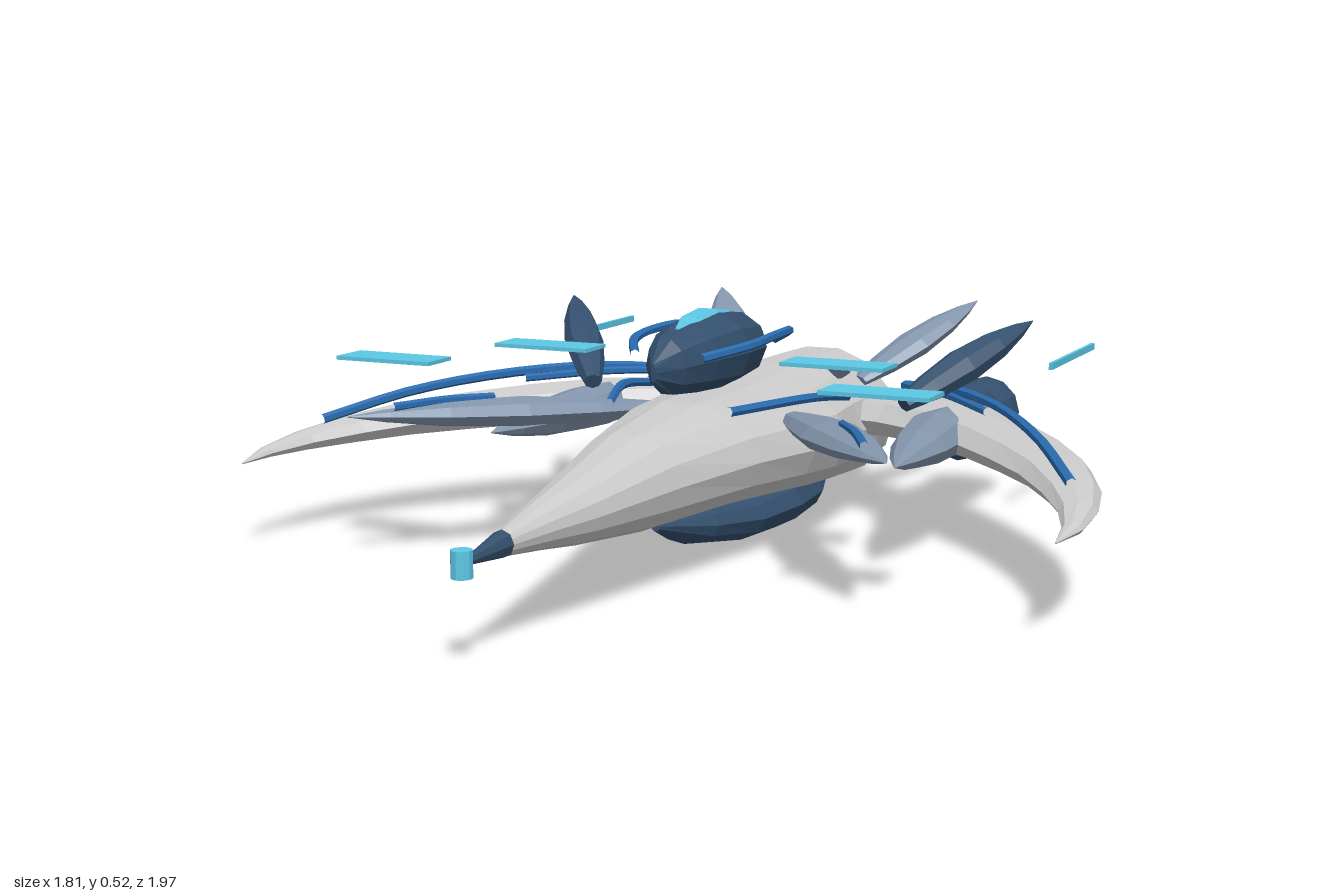
import * as THREE from 'three';

const V = (p) => new THREE.Vector3(p[0], p[1], p[2]);
const paint = (color) => new THREE.MeshStandardMaterial({ color, flatShading: true });
const hullGrey = paint(0xcccccc), dark = paint(0x34506e), slate = paint(0x8496ad);
const blue = paint(0x2a6cb0), cyan = paint(0x5cc8e6);

// Skins a row of elliptical sections [x, y, z, halfWidth, halfHeight]
function loft(sections, sides) {
  const pos = [], index = [], n = sections.length, up = new THREE.Vector3(0, 1, 0);
  const centres = sections.map(V);
  sections.forEach(([, , , w, h], i) => {
    const t = centres[Math.min(i + 1, n - 1)].clone().sub(centres[Math.max(i - 1, 0)]).normalize();
    const s = up.clone().cross(t).normalize(), u = t.clone().cross(s);
    for (let j = 0; j < sides; j++) {
      const a = (j / sides) * Math.PI * 2;
      const p = centres[i].clone().addScaledVector(s, w * Math.cos(a)).addScaledVector(u, h * Math.sin(a));
      pos.push(p.x, p.y, p.z);
    }
  });
  for (let j = 0; j < sides; j++) {
    const k = (j + 1) % sides;
    for (let i = 0; i < n - 1; i++) {
      const a = i * sides, b = a + sides;
      index.push(a + j, a + k, b + k, a + j, b + k, b + j);
    }
    if (j > 0 && j < sides - 1) {
      const e = (n - 1) * sides;
      index.push(0, k, j, e, e + j, e + k);
    }
  }
  const g = new THREE.BufferGeometry();
  g.setAttribute('position', new THREE.Float32BufferAttribute(pos, 3));
  g.setIndex(index);
  g.computeVertexNormals();
  return g;
}

// Leaf-shaped blade between two points
function blade(from, to, w, h, sides = 8) {
  const shape = [[0, 0.45], [0.2, 0.8], [0.45, 1], [0.7, 0.8], [0.88, 0.42], [1, 0.03]];
  return loft(shape.map(([t, k]) => [...V(from).lerp(V(to), t).toArray(), w * k, h * k]), sides);
}

const tube = (points, r) =>
  new THREE.TubeGeometry(new THREE.CatmullRomCurve3(points.map(V)), 14, r, 6, false);

export function createModel() {
  const model = new THREE.Group();
  const add = (name, geometry, material, x = 0, y = 0, z = 0, parent = model) => {
    const m = new THREE.Mesh(geometry, material);
    m.name = name;
    m.position.set(x, y, z);
    parent.add(m);
    return m;
  };
  // Section along the centre line: z, y, halfWidth, halfHeight
  const body = (rows, sides) => loft(rows.map(([z, y, w, h]) => [0, y, z, w, h]), sides);

  // Fuselage
  add('hull', body([
    [0.86, 0.195, 0.018, 0.02], [0.72, 0.2, 0.046, 0.042], [0.6, 0.202, 0.07, 0.061],
    [0.35, 0.215, 0.12, 0.1], [0.1, 0.225, 0.18, 0.115], [-0.1, 0.22, 0.22, 0.122],
    [-0.25, 0.215, 0.23, 0.132], [-0.4, 0.21, 0.21, 0.145], [-0.55, 0.205, 0.207, 0.15],
    [-0.68, 0.198, 0.185, 0.155], [-0.77, 0.19, 0.13, 0.125], [-0.82, 0.19, 0.08, 0.07],
  ], 14), hullGrey);
  add('noseCone', body([[0.84, 0.196, 0.024, 0.026], [0.97, 0.19, 0.006, 0.006]], 8), dark);
  add('noseTip', new THREE.CylinderGeometry(0.02, 0.02, 0.05, 10), cyan, 0, 0.19, 0.98);
  add('belly', body([
    [0.22, 0.1, 0.01, 0.01], [0.08, 0.08, 0.075, 0.045], [-0.08, 0.066, 0.115, 0.058],
    [-0.25, 0.066, 0.13, 0.066], [-0.42, 0.064, 0.11, 0.058], [-0.55, 0.06, 0.065, 0.04],
    [-0.62, 0.055, 0.01, 0.01],
  ], 12), dark);

  // Canopy with bright spine
  add('canopy', body([
    [0.23, 0.415, 0.006, 0.02], [0.17, 0.42, 0.045, 0.06], [0.08, 0.427, 0.08, 0.075],
    [-0.03, 0.43, 0.1, 0.083], [-0.15, 0.425, 0.085, 0.074], [-0.24, 0.412, 0.045, 0.048],
    [-0.3, 0.4, 0.006, 0.01],
  ], 10), dark);
  add('canopySpine', body([
    [0.12, 0.49, 0.004, 0.004], [0.06, 0.49, 0.032, 0.022], [-0.03, 0.492, 0.04, 0.028],
    [-0.1, 0.488, 0.03, 0.022], [-0.15, 0.488, 0.004, 0.004],
  ], 6), cyan);

  // Engine: lathed pod, nozzle ring and glowing disc, pointing to -z
  const engine = (name, x, y, z, profile) => {
    const g = new THREE.Group();
    g.name = name;
    g.position.set(x, y, z);
    const pod = new THREE.LatheGeometry(profile.map(([r, d]) => new THREE.Vector2(r, d)), 12);
    pod.rotateX(-Math.PI / 2);
    add('enginePod', pod, dark, 0, 0, 0, g);
    const end = profile[profile.length - 1][1];
    add('nozzleRing', new THREE.TorusGeometry(0.06, 0.009, 6, 16), blue, 0, 0, -end, g);
    add('exhaustDisc', new THREE.CylinderGeometry(0.04, 0.04, 0.016, 16), cyan, 0, 0, -end - 0.017, g);
    model.add(g);
  };
  engine('tailEngine', 0, 0.19, -0.79,
    [[0, 0], [0.07, 0], [0.08, 0.025], [0.082, 0.08], [0.065, 0.125], [0.06, 0.155], [0.035, 0.155], [0, 0.12]]);

  for (const [side, s] of [['left', 1], ['right', -1]]) {
    const m = (p) => [p[0] * s, ...p.slice(1)];
    const name = (part) => side + part;

    // Swept crescent wing and its conduits
    add(name('Wing'), loft([
      [0.12, 0.225, -0.58, 0.13, 0.05], [0.3, 0.235, -0.5, 0.12, 0.052],
      [0.44, 0.238, -0.4, 0.11, 0.05], [0.56, 0.236, -0.28, 0.1, 0.047],
      [0.66, 0.231, -0.17, 0.09, 0.043], [0.75, 0.225, -0.05, 0.075, 0.038],
      [0.82, 0.216, 0.08, 0.058, 0.031], [0.865, 0.207, 0.2, 0.038, 0.022],
      [0.885, 0.198, 0.31, 0.02, 0.012], [0.88, 0.19, 0.4, 0.002, 0.002],
    ].map(m), 8), hullGrey);
    add(name('WingConduit'), tube([[0.245, 0.29, -0.58], [0.4, 0.317, -0.42], [0.56, 0.318, -0.25],
      [0.72, 0.295, -0.03], [0.84, 0.25, 0.16]].map(m), 0.011), blue);
    add(name('InnerWingConduit'), tube([[0.27, 0.3, -0.52], [0.4, 0.31, -0.39],
      [0.55, 0.305, -0.23]].map(m), 0.009), blue);

    // Engine, its forward pylon, and fins
    engine(name('Engine'), 0.365 * s, 0.205, -0.585,
      [[0, 0], [0.07, 0], [0.085, 0.025], [0.086, 0.08], [0.073, 0.13], [0.083, 0.19],
        [0.08, 0.235], [0.06, 0.265], [0.035, 0.265], [0, 0.22]]);
    add(name('Pylon'), blade(m([0.39, 0.24, -0.6]), m([0.46, 0.235, 0.08]), 0.075, 0.05), slate);
    add(name('RearFin'), blade(m([0.15, 0.3, -0.54]), m([0.33, 0.46, -0.84]), 0.052, 0.028), slate);
    add(name('WingFin'), blade(m([0.37, 0.31, -0.22]), m([0.565, 0.465, -0.5]), 0.045, 0.04), dark);

    // Forward canard with conduit
    add(name('Canard'), blade(m([0.17, 0.285, -0.1]), m([0.577, 0.32, 0.455]), 0.065, 0.032), slate);
    add(name('CanardConduit'), tube([[0.3, 0.335, 0.19], [0.4, 0.338, 0.28],
      [0.5, 0.335, 0.39]].map(([x, y, z]) => m([x + 0.01 + 0.08 * (0.5 - x) / 0.2, y, z])), 0.009), blue);

    // Conduits along the canopy and the hull shoulder
    add(name('CanopyConduit'), tube([[0.065, 0.43, -0.24], [0.12, 0.457, -0.19], [0.138, 0.462, -0.06],
      [0.13, 0.455, 0.05], [0.075, 0.44, 0.16]].map(m), 0.01), blue);
    add(name('HullConduit'), tube([[0.235, 0.315, -0.24], [0.22, 0.335, -0.08],
      [0.135, 0.335, 0.16]].map(m), 0.01), blue);
    add(name('HullSpur'), blade(m([0.145, 0.33, -0.46]), m([0.15, 0.36, -0.35]), 0.025, 0.02, 4), slate);

    // Floating panels
    add(name('InnerPanel'), new THREE.BoxGeometry(0.22, 0.008, 0.088), cyan, 0.328 * s, 0.43, 0.057);
    add(name('OuterPanel'), new THREE.BoxGeometry(0.218, 0.008, 0.088), cyan, 0.528 * s, 0.43, 0.355);
    add(name('RearBar'), new THREE.BoxGeometry(0.008, 0.015, 0.355), cyan, 0.6 * s, 0.363, -0.705);
  }
  return model;
}
